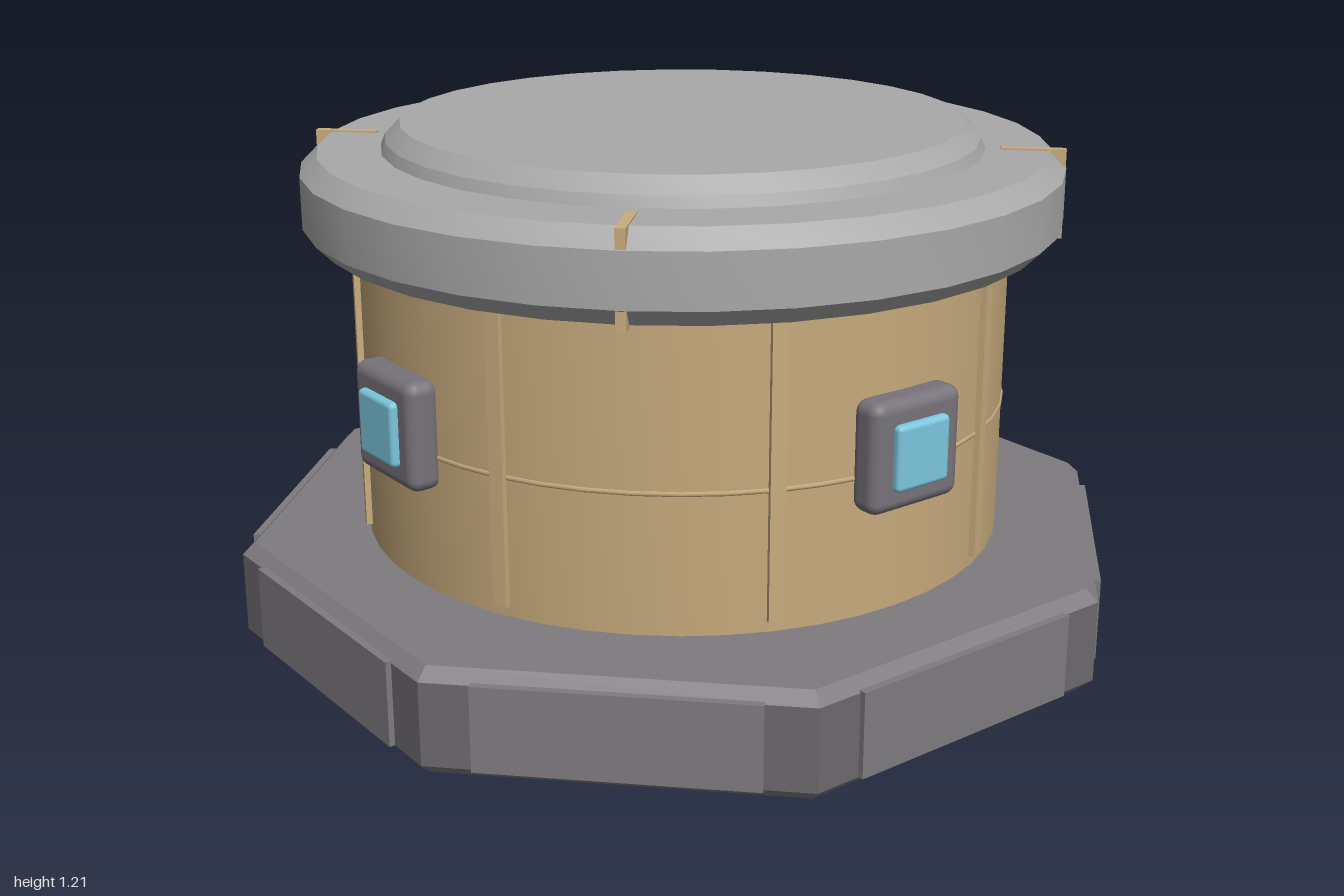
import * as THREE from 'three';
import { toCreasedNormals } from 'three/addons/utils/BufferGeometryUtils.js';
import { RoundedBoxGeometry } from 'three/addons/geometries/RoundedBoxGeometry.js';

const material = (name, color) => new THREE.MeshStandardMaterial({ name, color });

export function createModel() {
  const stone = material('base grey', 0x7f7b80);
  const darkStone = material('dark base grey', 0x6c696d);
  const tan = material('tan wall', 0xc6aa7c);
  const trim = material('tan trim', 0xc9ad7e);
  const steel = material('lid grey', 0xa9a9a9);
  const frameGrey = material('frame grey', 0x77737a);
  const glass = material('blue glass', 0x7cc8de);

  const model = new THREE.Group();
  model.name = 'roundBunker';

  const add = (name, geometry, mat, parent = model) => {
    const mesh = new THREE.Mesh(geometry, mat);
    mesh.name = name;
    parent.add(mesh);
    return mesh;
  };

  // Turned solid from [radius, height] pairs listed bottom to top
  const turned = (profile, sides, start = 0, crease = 0.35) => toCreasedNormals(
    new THREE.LatheGeometry(profile.map(([r, y]) => new THREE.Vector2(r, y)), sides, start), crease);

  // A group turned about the vertical axis; its parts are modelled facing +z
  const spoke = (name, angle) => {
    const group = new THREE.Group();
    group.name = name;
    group.rotation.y = angle;
    model.add(group);
    return group;
  };

  // Octagonal base: bevelled bottom, dark side band, bevelled top
  const octagon = (profile) => turned(
    profile.map(([a, y]) => [a / Math.cos(Math.PI / 8), y]), 8, Math.PI / 8, 0.1);
  add('baseBottom', octagon([[0, 0], [0.96, 0], [0.987, 0.027]]), stone);
  add('baseSides', octagon([[0.987, 0.027], [0.987, 0.218]]), darkStone);
  add('baseTop', octagon([[0.987, 0.218], [0.96, 0.245], [0, 0.245]]), stone);

  // Drum wall with a thin seam ring
  add('drumWall', turned([[0.765, 0.24], [0.765, 0.96]], 48), tan);
  const seam = add('drumSeam', new THREE.TorusGeometry(0.763, 0.006, 6, 48), tan);
  seam.rotation.x = Math.PI / 2;
  seam.position.y = 0.565;

  // Lid with bevelled rim, and the raised cap on it
  add('lid', turned([[0, 0.95], [0.845, 0.95], [0.885, 0.99], [0.885, 1.11],
    [0.845, 1.15], [0, 1.15]], 32), steel);
  add('lidCap', turned([[0.7, 1.15], [0.69, 1.175], [0.655, 1.21], [0, 1.21]], 32), steel);

  // Side panels of the base and ribs of the drum
  for (let i = 0; i < 8; i++) {
    const side = spoke('basePanel', i * Math.PI / 4);
    add('panel', new THREE.BoxGeometry(0.6, 0.195, 0.03), stone, side)
      .position.set(0, 0.125, 0.985);
    const ribSpoke = spoke('drumRib', (i + 0.5) * Math.PI / 4);
    add('rib', new THREE.BoxGeometry(0.034, 0.66, 0.03), trim, ribSpoke)
      .position.set(0, 0.6, 0.763);
  }

  // Four windows on the axes, four clips through the lid on the diagonals
  for (let i = 0; i < 4; i++) {
    const window = spoke('window', i * Math.PI / 2);
    add('windowFrame', new RoundedBoxGeometry(0.25, 0.25, 0.08, 3, 0.028), frameGrey, window)
      .position.set(0, 0.617, 0.782);
    add('windowGlass', new RoundedBoxGeometry(0.148, 0.148, 0.06, 2, 0.012), glass, window)
      .position.set(0, 0.617, 0.81);

    const clip = spoke('lidClip', (i + 0.5) * Math.PI / 2);
    add('clip', new THREE.BoxGeometry(0.022, 0.208, 0.148), trim, clip)
      .position.set(0, 1.05, 0.809);
  }

  return model;
}
